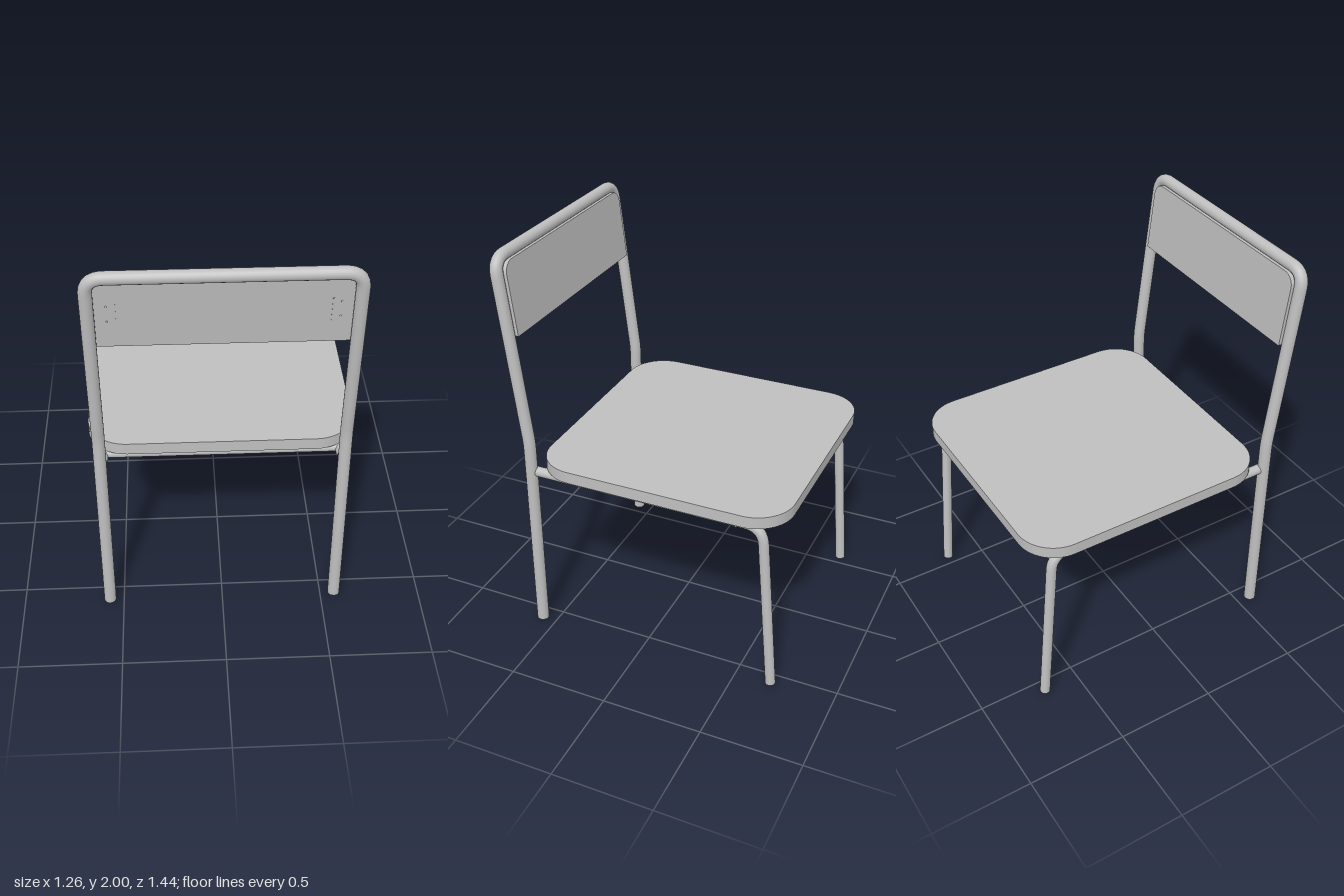
import * as THREE from 'three';

const V = (x, y, z) => new THREE.Vector3(x, y, z);

// Polyline path whose inner corners are rounded by the given radii
function roundedPath(points, radii) {
  const path = new THREE.CurvePath();
  let from = points[0];
  for (let i = 1; i < points.length - 1; i++) {
    const p = points[i], r = radii[i - 1];
    const a = p.clone().add(points[i - 1].clone().sub(p).setLength(r));
    const b = p.clone().add(points[i + 1].clone().sub(p).setLength(r));
    path.add(new THREE.LineCurve3(from, a));
    path.add(new THREE.QuadraticBezierCurve3(a, p, b));
    from = b;
  }
  path.add(new THREE.LineCurve3(from, points[points.length - 1]));
  return path;
}

// Rectangle outline with separate corner radii for the top and bottom edges
function roundedRect(w, h, rTop, rBottom) {
  const s = new THREE.Shape(), x = w / 2, y = h / 2, q = Math.PI / 2;
  s.absarc(x - rTop, y - rTop, rTop, 0, q);
  s.absarc(-x + rTop, y - rTop, rTop, q, 2 * q);
  s.absarc(-x + rBottom, -y + rBottom, rBottom, 2 * q, 3 * q);
  s.absarc(x - rBottom, -y + rBottom, rBottom, 3 * q, 4 * q);
  s.closePath();
  return s;
}

export function createModel() {
  const chair = new THREE.Group();
  chair.name = 'chair';
  const grey = new THREE.MeshStandardMaterial({ color: 0xbfbfbf });
  grey.name = 'grey';

  const add = (name, geometry, parent = chair) => {
    const mesh = new THREE.Mesh(geometry, grey);
    mesh.name = name;
    parent.add(mesh);
    return mesh;
  };
  const footCap = (x, z, r) => {
    const cap = add('footCap', new THREE.CircleGeometry(r, 20));
    cap.rotation.x = Math.PI / 2;
    cap.position.set(x, 0, z);
  };

  // Back frame: one bent tube forming both rear legs and the top rail
  const X = 0.57;
  const backPath = roundedPath(
    [V(-X, 0, 0.58), V(-X, 1.05, 0.58), V(-X, 1.97, 0.69),
      V(X, 1.97, 0.69), V(X, 1.05, 0.58), V(X, 0, 0.58)],
    [0.04, 0.08, 0.08, 0.04]);
  add('backFrame', new THREE.TubeGeometry(backPath, 240, 0.03, 20));

  for (const side of [-1, 1]) {
    footCap(side * X, 0.58, 0.03);

    // Seat rail bending down into the front leg
    const x = side * 0.56;
    const legPath = roundedPath(
      [V(x, 0.895, 0.57), V(x, 0.895, -0.612), V(x, 0.002, -0.68)], [0.09]);
    add('frontLegAndRail', new THREE.TubeGeometry(legPath, 100, 0.025, 20));
    footCap(x, -0.68, 0.025);

    // Screw heads under the rail
    for (const z of [0.325, -0.48]) {
      add('railScrew', new THREE.SphereGeometry(0.01, 10, 8)).position.set(x, 0.871, z);
    }
  }

  // Cross bars under the seat
  for (const z of [0.5, -0.55]) {
    const bar = add('crossBar', new THREE.CylinderGeometry(0.022, 0.022, 1.12, 18));
    bar.rotation.z = Math.PI / 2;
    bar.position.set(0, 0.897, z);
  }

  // Seat slab with rounded corners
  const seat = add('seat', new THREE.ExtrudeGeometry(
    roundedRect(1.26, 1.26, 0.19, 0.19), { depth: 0.06, bevelEnabled: false, curveSegments: 8 }));
  seat.rotation.x = -Math.PI / 2;
  seat.position.set(0, 0.92, -0.09);

  // Backrest panel, leaning with the frame
  const backrest = new THREE.Group();
  backrest.name = 'backrest';
  backrest.position.set(0, 1.775, 0.641);
  backrest.rotation.x = Math.atan2(0.11, 0.92);
  chair.add(backrest);
  add('backrestPanel', new THREE.ExtrudeGeometry(
    roundedRect(1.1, 0.355, 0.06, 0.004), { depth: 0.026, bevelEnabled: false, curveSegments: 8 }),
  backrest).position.z = -0.013;

  // Small bracket edges and rivets on the rear of the panel
  for (const side of [-1, 1]) {
    add('bracketEdge', new THREE.BoxGeometry(0.007, 0.12, 0.004), backrest)
      .position.set(side * 0.455, 0, 0.013);
    for (const y of [-0.04, 0.04]) {
      add('rivet', new THREE.SphereGeometry(0.005, 8, 6), backrest)
        .position.set(side * 0.49, y, 0.011);
    }
  }
  return chair;
}
